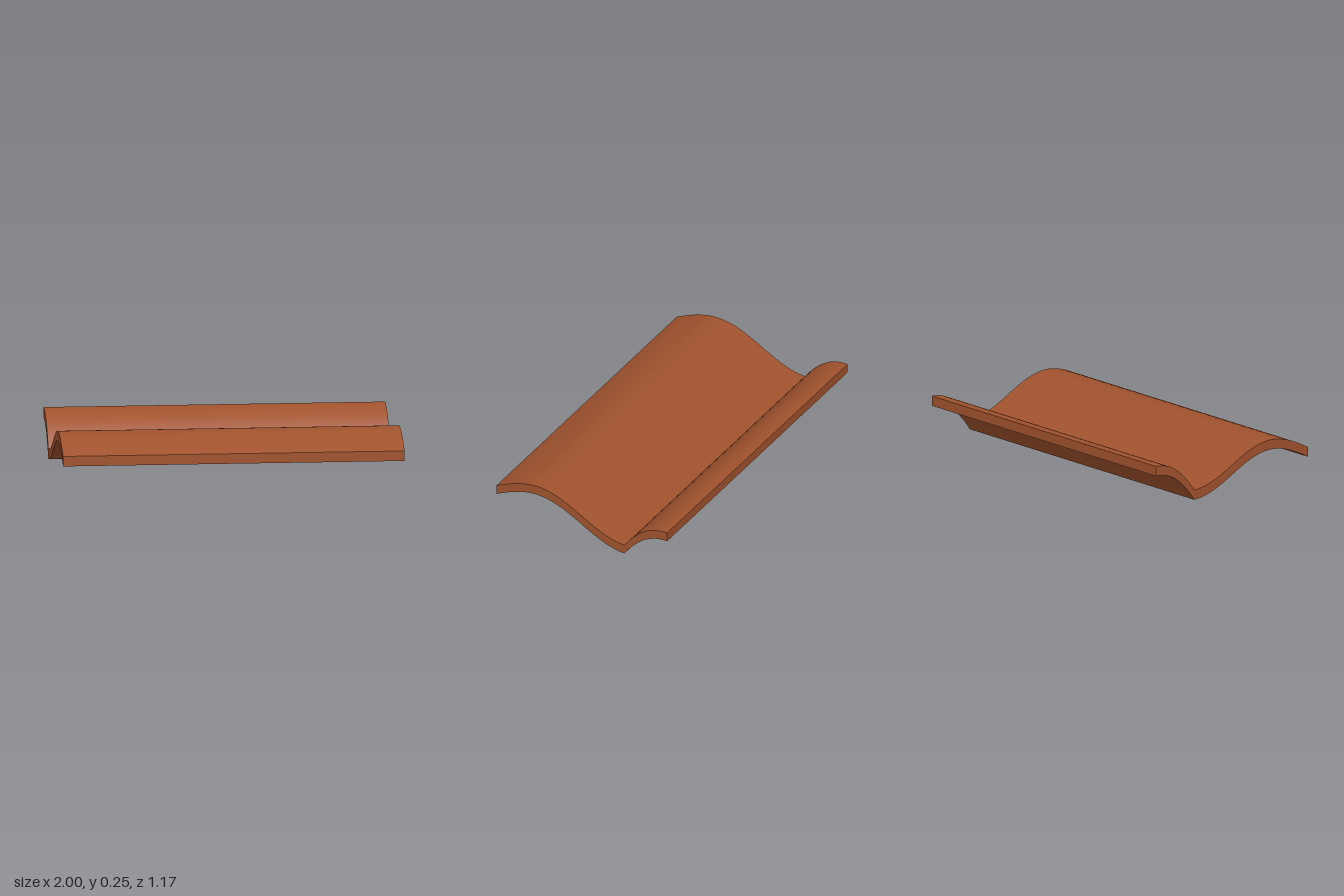
import * as THREE from 'three';
import { toCreasedNormals } from 'three/addons/utils/BufferGeometryUtils.js';

const LENGTH = 2, HALF = 0.585, THICK = 0.056;
const LOW = 0.059, HIGH = 0.255;

// Height of the upper surface, t running from the front lip (0) to the back lip (1)
function topHeight(t) {
  if (t <= 0.75) return (LOW + HIGH) / 2 + ((HIGH - LOW) / 2) * Math.sin(t * 2 * Math.PI);
  const u = (t - 0.75) * 4;
  return LOW + (HIGH - LOW) * (1 - Math.pow(1 - u, 2.2));
}

export function createModel() {
  const group = new THREE.Group();
  group.name = 'roofTile';
  const terracotta = new THREE.MeshStandardMaterial({ color: 0xa0522d });
  terracotta.name = 'terracotta';

  // Wavy cross-section of constant vertical thickness
  const upper = [], lower = [], steps = 48;
  for (let i = 0; i <= steps; i++) {
    const t = i / steps, s = -HALF + 2 * HALF * t, y = topHeight(t);
    upper.push(new THREE.Vector2(s, y));
    lower.push(new THREE.Vector2(s, y - THICK - 0.003));
  }
  const shape = new THREE.Shape([...lower, ...upper.reverse()]);

  // Sweep the section along x, keeping the valley and lips crisp
  const sweep = new THREE.ExtrudeGeometry(shape, { depth: LENGTH, bevelEnabled: false });
  sweep.translate(0, 0, -LENGTH / 2);
  sweep.rotateY(Math.PI / 2);
  const tile = new THREE.Mesh(toCreasedNormals(sweep, Math.PI / 6), terracotta);
  tile.name = 'wavyTile';
  group.add(tile);
  return group;
}
